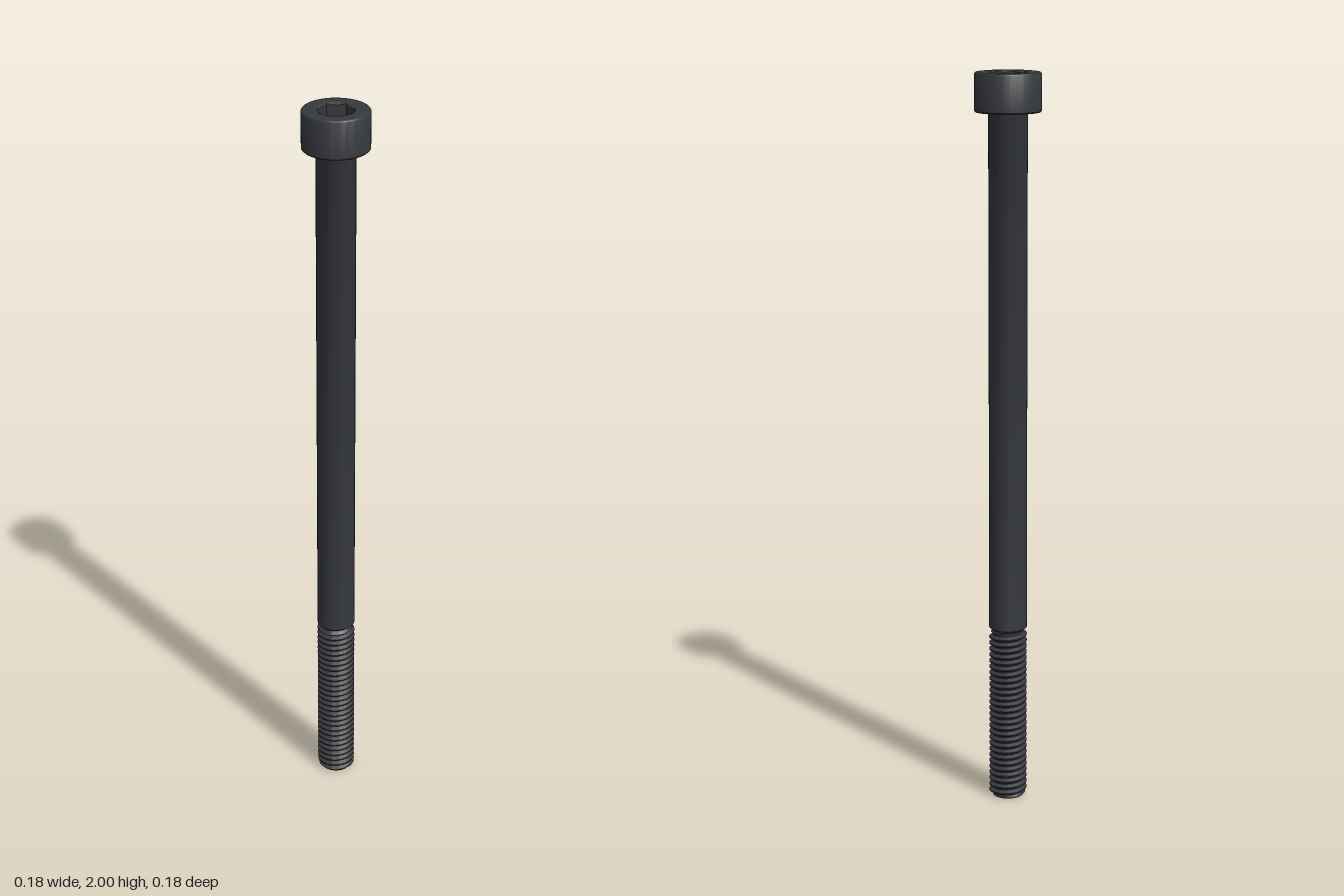
import * as THREE from 'three';
import { toCreasedNormals } from 'three/addons/utils/BufferGeometryUtils.js';

const S = 2 / 116;                 // one millimetre of a 6 x 110 mm screw
const SEG = 72;                    // segments per turn
const HEAD_R = 5.11 * S, HEAD_Y = 110 * S, TOP = 116 * S;
const SHAFT_R = 3 * S, ROOT_R = 2.4 * S, THREAD_TOP = 28 * S, PITCH = S;
const SOCKET_FLAT = 2.5 * S, SOCKET_R = 2.95 * S, SOCKET_FLOOR = TOP - 3 * S;

// Surface swept around the y axis; point(angle, j) gives [radius, height].
function sweep(steps, count, point, crease = 0.6) {
  const pos = [];
  const vertex = (i, j) => {
    const a = (i / SEG) * Math.PI * 2;
    const [r, y] = point(a, j);
    return new THREE.Vector3(r * Math.sin(a), y, r * Math.cos(a));
  };
  const triangle = new THREE.Triangle();
  const add = (a, b, c) => {
    if (triangle.set(a, b, c).getArea() > 1e-9) pos.push(...a, ...b, ...c);
  };
  for (let i = 0; i < steps; i++) {
    for (let j = 0; j < count - 1; j++) {
      const a = vertex(i, j), b = vertex(i + 1, j);
      const c = vertex(i + 1, j + 1), d = vertex(i, j + 1);
      add(a, b, c);
      add(a, c, d);
    }
  }
  const geometry = new THREE.BufferGeometry();
  geometry.setAttribute('position', new THREE.Float32BufferAttribute(pos, 3));
  return toCreasedNormals(geometry, crease);
}

const revolve = (profile) => sweep(SEG, profile.length, (a, j) => profile[j]);

// Distance from the axis to the hexagon's wall, corners on the x axis.
function hexRadius(angle) {
  const sector = Math.PI / 3;
  const off = (((angle + sector / 2) % sector) + sector) % sector - sector / 2;
  return SOCKET_FLAT / Math.cos(off);
}

// Helical ridge, tapering into the core at both ends.
function threadGeometry() {
  const section = [[0, 0], [0.14, 0], [0.46, 1], [0.64, 1], [1, 0]];
  const turns = Math.ceil(THREAD_TOP / PITCH) + 1;
  return sweep(turns * SEG, section.length, (a, j) => {
    const [t, h] = section[j];
    const y = THREE.MathUtils.clamp((a / (Math.PI * 2) - 1 + t) * PITCH, 0, THREAD_TOP);
    const ridge = Math.min(h * (SHAFT_R - ROOT_R), y, THREAD_TOP - y);
    return [ROOT_R + ridge, y];
  }, 0.4);
}

export function createModel() {
  const model = new THREE.Group();
  model.name = 'socketHeadScrew';
  const steel = new THREE.MeshStandardMaterial({ color: 0x36393d });
  const part = (name, geometry) => {
    const mesh = new THREE.Mesh(geometry, steel);
    mesh.name = name;
    model.add(mesh);
  };

  // Head with a chamfered foot and a rounded top rim
  const rim = 0.35 * S;
  const head = [[SHAFT_R, HEAD_Y], [HEAD_R - 0.2 * S, HEAD_Y], [HEAD_R, HEAD_Y + 0.2 * S]];
  for (let k = 0; k <= 5; k++) {
    const a = (k / 5) * Math.PI / 2;
    head.push([HEAD_R - rim + rim * Math.cos(a), TOP - rim + rim * Math.sin(a)]);
  }
  head.push([SOCKET_R, TOP]);
  part('head', revolve(head));

  // Hexagonal socket: conical lead-in, six walls, flat floor
  part('hexSocket', sweep(SEG, 4, (a, j) => {
    const r = hexRadius(a);
    if (j === 0) return [SOCKET_R, TOP];
    if (j === 1) return [r, TOP - Math.max(0, SOCKET_R - r) * 0.6];
    return j === 2 ? [r, SOCKET_FLOOR] : [0, SOCKET_FLOOR];
  }));

  // Plain shank with a chamfer above the thread and a fillet under the head
  part('shank', revolve([
    [ROOT_R, THREAD_TOP], [SHAFT_R, THREAD_TOP + 0.5 * S],
    [SHAFT_R, HEAD_Y - 0.25 * S], [SHAFT_R + 0.08 * S, HEAD_Y - 0.08 * S],
    [SHAFT_R + 0.25 * S, HEAD_Y],
  ]));

  // Threaded end and its flat tip
  part('thread', threadGeometry());
  part('tip', revolve([[0, 0], [ROOT_R, 0]]));

  return model;
}
